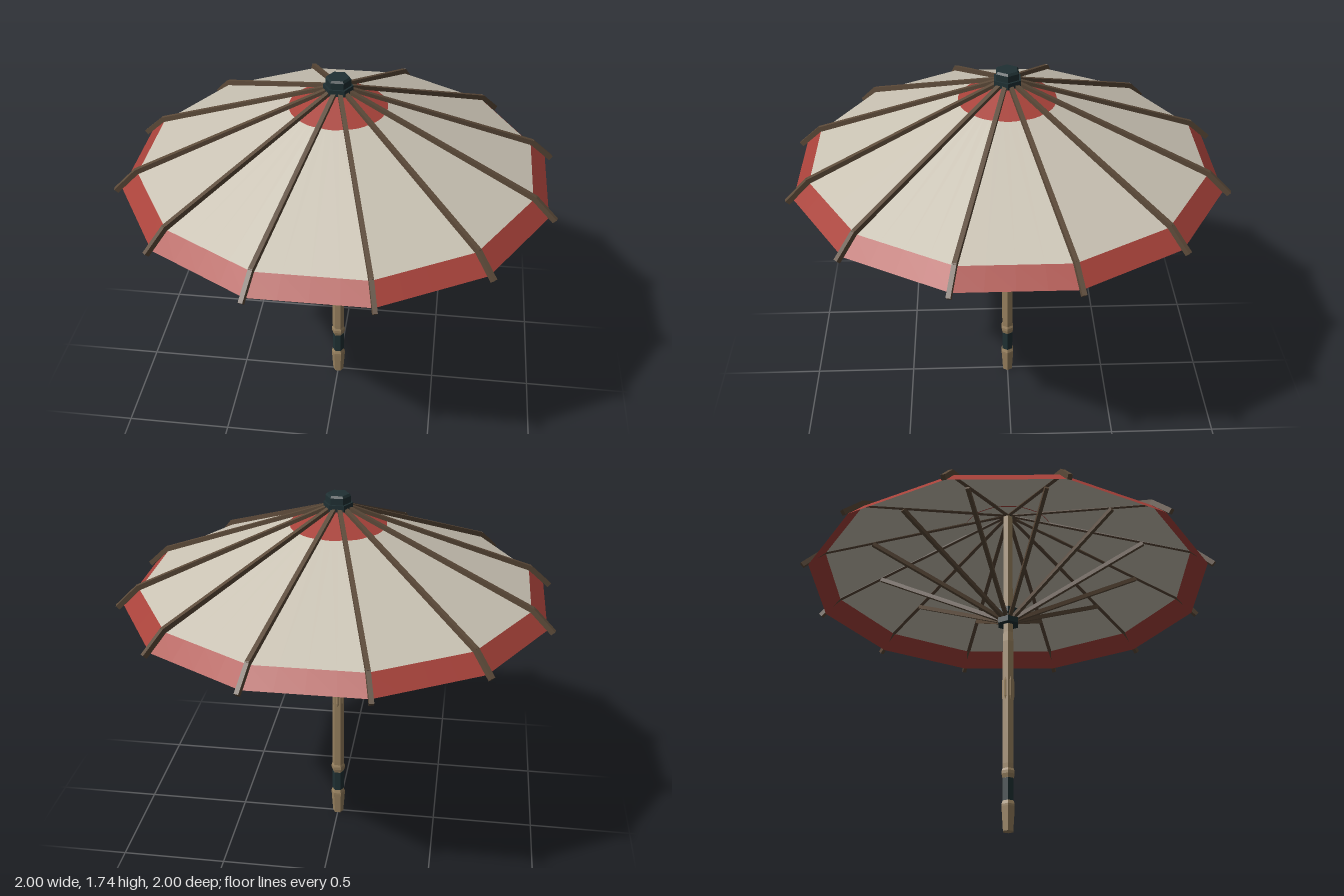
import * as THREE from 'three';

const mat = (name, color, side = THREE.FrontSide) =>
  Object.assign(new THREE.MeshStandardMaterial({ color, flatShading: true, side }), { name });

const SIDES = 12;
const HALF = Math.PI / SIDES;
const SLOPE = 0.418, APEX = 1.69;

export function createModel() {
  const cream = mat('cream cloth', 0xcac3b4, THREE.DoubleSide);
  const red = mat('red cloth', 0xa8423a, THREE.DoubleSide);
  const wood = mat('light wood', 0x98815f);
  const ribWood = mat('dark wood', 0x5c4a39);
  const iron = mat('dark fitting', 0x1f3033);

  const model = new THREE.Group();
  const add = (name, geo, material, parent = model) => {
    const mesh = new THREE.Mesh(geo, material);
    mesh.name = name;
    parent.add(mesh);
    return mesh;
  };

  // Height of the cloth at distance d along a panel's middle line
  const clothY = d => (d <= 0.885 ? APEX - SLOPE * d : 1.32 - (d - 0.885));

  // Cloth band between two edges; each edge gives a radius for an angle from the panel's middle
  const band = (inner, outer, drop = 0) => {
    const pos = [], steps = 4;
    for (let k = 0; k < SIDES; k++) {
      const point = (edge, s) => {
        const phi = -HALF + (2 * HALF * s) / steps, r = edge(phi), a = k * 2 * HALF + phi;
        return [r * Math.sin(a), clothY(r * Math.cos(phi)) - drop, r * Math.cos(a)];
      };
      for (let s = 0; s < steps; s++) {
        const a = point(inner, s), b = point(outer, s), c = point(outer, s + 1), d = point(inner, s + 1);
        pos.push(...a, ...b, ...c, ...a, ...c, ...d);
      }
    }
    const geo = new THREE.BufferGeometry();
    geo.setAttribute('position', new THREE.Float32BufferAttribute(pos, 3));
    geo.computeVertexNormals();
    return geo;
  };
  const round = r => () => r;
  const straight = d => phi => d / Math.cos(phi);

  // Canopy
  const canopy = new THREE.Group();
  canopy.name = 'canopy';
  model.add(canopy);
  add('crownCircle', band(round(0.01), round(0.222)), red, canopy);
  add('crownLining', band(round(0.01), round(0.222), 0.004), cream, canopy);
  add('panels', band(round(0.222), straight(0.885)), cream, canopy);
  add('border', band(straight(0.885), straight(0.96)), red, canopy);

  // Square bar between two points in the radial plane (r, y)
  const bar = (name, [r0, y0], [r1, y1], width, thick, material, parent) => {
    const mesh = add(name, new THREE.BoxGeometry(Math.hypot(r1 - r0, y1 - y0), thick, width), material, parent);
    mesh.position.set((r0 + r1) / 2, (y0 + y1) / 2, 0);
    mesh.rotation.z = Math.atan2(y1 - y0, r1 - r0);
  };

  // Ribs over the cloth and struts beneath it
  for (let k = 0; k < SIDES; k++) {
    const spoke = new THREE.Group();
    spoke.name = 'spoke';
    spoke.rotation.y = HALF + k * 2 * HALF;
    bar('rib', [0.02, 1.685], [0.926, 1.328], 0.02, 0.024, ribWood, spoke);
    bar('ribTip', [0.918, 1.333], [1.022, 1.237], 0.02, 0.024, ribWood, spoke);
    bar('strut', [0.03, 1.075], [0.69, 1.405], 0.018, 0.02, ribWood, spoke);
    model.add(spoke);
  }

  // Six-sided solid with corners on the x axis, from [radius, height] pairs
  const hex = (name, points, material, turn = Math.PI / 6) => {
    const profile = [[0, points[0][1]], ...points, [0, points[points.length - 1][1]]];
    const geo = new THREE.LatheGeometry(profile.map(p => new THREE.Vector2(...p)), 6);
    geo.rotateY(turn);
    return add(name, geo, material);
  };

  // Pole and handle
  hex('pole', [[0.027, 0.2], [0.03, 0.32], [0.03, 0.95], [0.027, 1.0], [0.027, 1.7]], wood);
  hex('poleKnot', [[0.026, 0.64], [0.03, 0.66], [0.03, 0.74], [0.026, 0.76]], wood, 0);
  hex('handleRing', [[0.028, 0.25], [0.034, 0.27], [0.034, 0.285], [0.028, 0.3]], wood);
  hex('handleBand', [[0.029, 0.14], [0.029, 0.25]], iron);
  hex('handle', [[0.027, 0], [0.035, 0.115], [0.035, 0.125], [0.028, 0.145]], wood);

  // Sliding runner and top cap
  hex('runner', [[0.056, 1.045], [0.056, 1.075], [0.044, 1.08], [0.044, 1.09], [0.056, 1.095], [0.056, 1.125]], iron);
  hex('capBase', [[0.068, 1.67], [0.068, 1.7]], iron);
  hex('cap', [[0.058, 1.7], [0.058, 1.73], [0.05, 1.74]], iron);

  return model;
}
